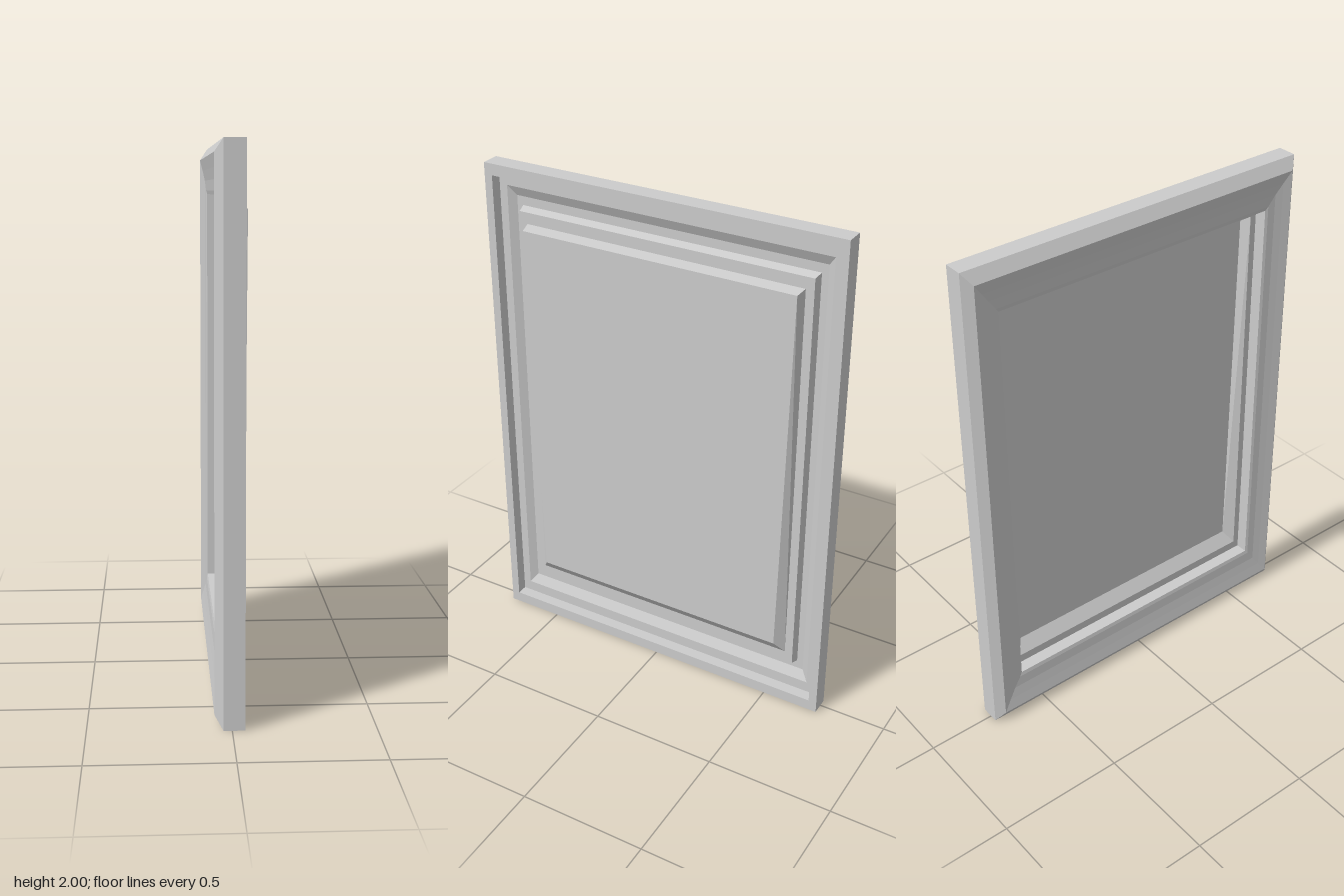
import * as THREE from 'three';

const HALF_WIDTH = 0.73; // along z
const HALF_HEIGHT = 1; // along y

// Rectangular ring scaled from the outer outline, at depth x
function ring(s, x) {
  const z = HALF_WIDTH * s, h = HALF_HEIGHT * s;
  return [
    [x, HALF_HEIGHT - h, z], [x, HALF_HEIGHT - h, -z],
    [x, HALF_HEIGHT + h, -z], [x, HALF_HEIGHT + h, z],
  ];
}

// Joins consecutive four-cornered rings with mitred flat faces
function loft(rings, { closed = false, cap = false } = {}) {
  const pos = [];
  const quad = (a, b, c, d) => pos.push(...a, ...c, ...b, ...a, ...d, ...c);
  const n = closed ? rings.length : rings.length - 1;
  for (let i = 0; i < n; i++) {
    const p = rings[i], q = rings[(i + 1) % rings.length];
    for (let k = 0; k < 4; k++) {
      const j = (k + 1) % 4;
      quad(p[k], p[j], q[j], q[k]);
    }
  }
  if (cap) quad(...[...rings[rings.length - 1]]);
  const geo = new THREE.BufferGeometry();
  geo.setAttribute('position', new THREE.Float32BufferAttribute(pos, 3));
  geo.computeVertexNormals();
  return geo;
}

export function createModel() {
  const group = new THREE.Group();
  group.name = 'framedPanel';
  const add = (name, geo, side = THREE.FrontSide) => {
    const mesh = new THREE.Mesh(geo, new THREE.MeshStandardMaterial({ color: 0xcccccc, side }));
    mesh.name = name;
    group.add(mesh);
  };

  // Moulding: bevelled, stepped face on -x, lip and groove on +x
  const profile = [
    [1, 0.045], [1, -0.03], [0.955, -0.06], [0.91, -0.05], [0.87, -0.042],
    [0.83, -0.038], [0.815, -0.034], [0.815, 0.015], [0.825, 0.015],
    [0.835, -0.02], [0.87, -0.02], [0.91, 0], [0.955, 0], [0.955, 0.045],
  ];
  add('frame', loft(profile.map(([s, x]) => ring(s, x)), { closed: true }));

  // Thin pressed panel: flange, sloping walls, slightly tapered and tilted face
  const face = [
    [0.052, 0.27, 0.535], [0.052, 0.27, -0.535],
    [0.06, 1.77, -0.56], [0.06, 1.77, 0.56],
  ];
  add('panel', loft([ring(0.82, 0.015), ring(0.78, 0.015), face], { cap: true }), THREE.DoubleSide);

  return group;
}
